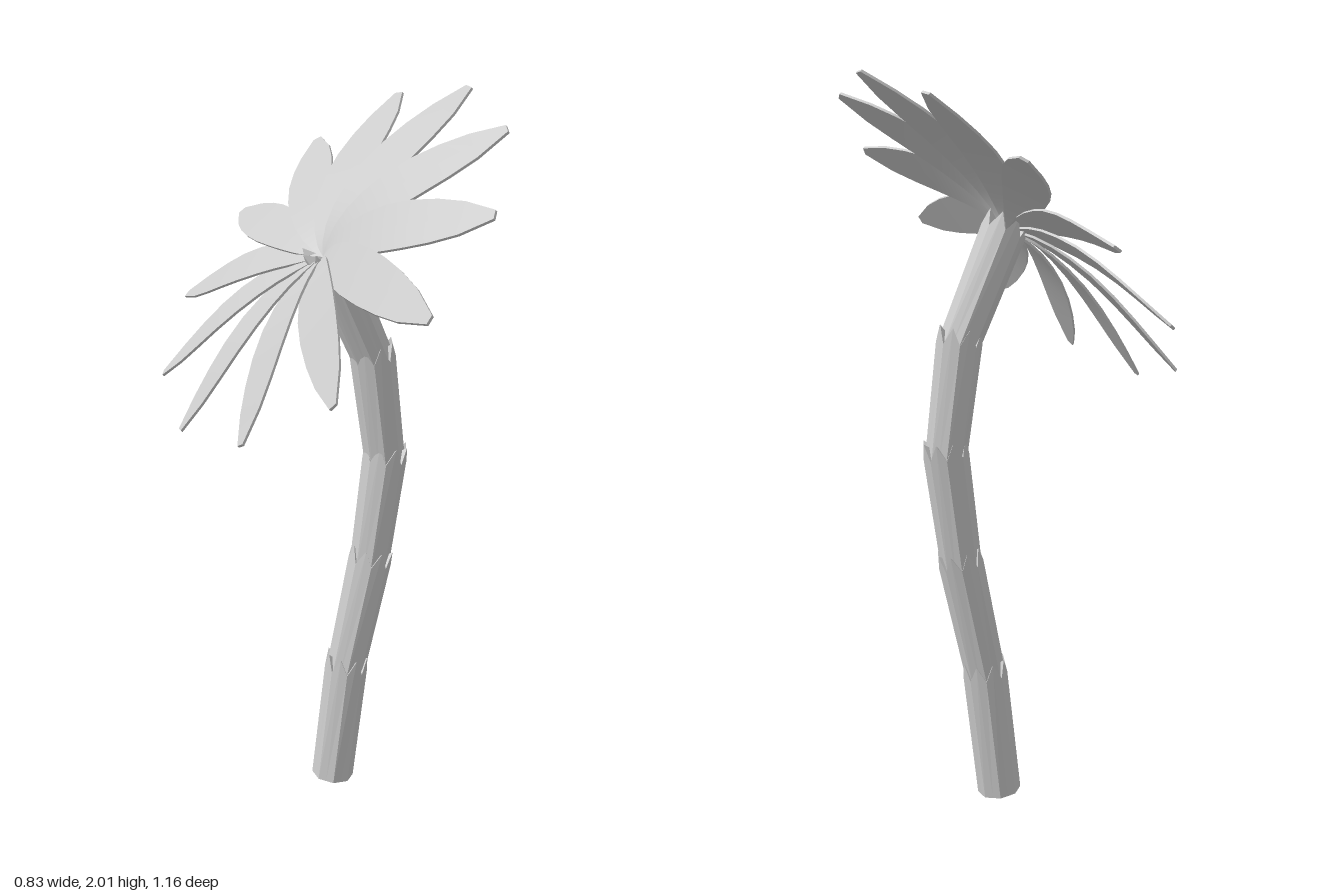
import * as THREE from 'three';

const material = new THREE.MeshStandardMaterial({ color: 0xcccccc, side: THREE.DoubleSide });
const barkMaterial = new THREE.MeshStandardMaterial({ color: 0xcccccc, flatShading: true });

// Trunk segment: an eight-sided column whose upper rim has a pointed tooth on each face
function trunkSegment(from, to, bottomRadius, topRadius) {
  const dir = to.clone().sub(from);
  const length = dir.length();
  const geo = new THREE.CylinderGeometry(topRadius, bottomRadius, length, 16, 1);
  const p = geo.attributes.position;
  for (let i = 0; i < p.count; i++) {
    const x = p.getX(i), y = p.getY(i), z = p.getZ(i);
    if (Math.hypot(x, z) < 0.001) continue;
    const midFace = Math.round(Math.atan2(x, z) / (Math.PI / 8)) % 2 === 0;
    if (!midFace) continue;
    const top = y > 0;
    const s = top ? 0.97 : Math.cos(Math.PI / 8);
    p.setXYZ(i, x * s, top ? y + 0.045 : y, z * s);
  }
  geo.computeVertexNormals();
  const mesh = new THREE.Mesh(geo, barkMaterial);
  mesh.position.copy(from).add(to).multiplyScalar(0.5);
  mesh.quaternion.setFromUnitVectors(new THREE.Vector3(0, 1, 0), dir.normalize());
  return mesh;
}

// Leaf: stations of [distance from hub, half width, height of the arch]
const stations = [
  [0, 0.004, 0.005], [0.03, 0.02, 0.02], [0.07, 0.037, 0.033], [0.12, 0.05, 0.043],
  [0.18, 0.06, 0.048], [0.25, 0.067, 0.048], [0.33, 0.067, 0.041], [0.41, 0.06, 0.029],
  [0.49, 0.045, 0.015], [0.58, 0.012, 0],
];

function leafGeometry() {
  const n = stations.length - 1;
  const thickness = 0.007, pitch = 0.18;
  const geo = new THREE.BoxGeometry(2, thickness, n, 2, 1, n);
  const p = geo.attributes.position;
  for (let i = 0; i < p.count; i++) {
    const [r, half, arch] = stations[Math.round(p.getZ(i) + n / 2)];
    const x = p.getX(i) * half;
    // one long edge is lifted so that neighbours overlap like a pinwheel
    p.setXYZ(i, x * Math.cos(pitch), p.getY(i) + arch + x * Math.sin(pitch), r);
  }
  geo.computeVertexNormals();
  return geo;
}

export function createModel() {
  const model = new THREE.Group();
  model.name = 'palmTree';

  // Curved trunk
  const trunk = new THREE.Group();
  trunk.name = 'trunk';
  const joints = [[0.025, 0.004], [0.068, 0.36], [0.14, 0.69], [0.182, 1.0], [0.142, 1.3], [0.012, 1.59]]
    .map(([x, y]) => new THREE.Vector3(x, y, 0));
  for (let i = 0; i < joints.length - 1; i++) {
    const from = joints[i].clone();
    if (i > 0) from.lerp(joints[i + 1], -0.06);
    const segment = trunkSegment(from, joints[i + 1], i === 0 ? 0.061 : 0.056, 0.062);
    segment.name = `trunkSegment${i + 1}`;
    trunk.add(segment);
  }
  model.add(trunk);

  // Tilted crown of twelve leaves
  const crown = new THREE.Group();
  crown.name = 'crown';
  crown.position.set(0, 1.59, 0);
  crown.rotation.z = Math.PI / 4;
  const leafGeo = leafGeometry();
  for (let i = 0; i < 12; i++) {
    const leaf = new THREE.Mesh(leafGeo, material);
    leaf.name = `leaf${i + 1}`;
    leaf.rotation.y = (i * Math.PI) / 6;
    crown.add(leaf);
  }
  model.add(crown);
  return model;
}
